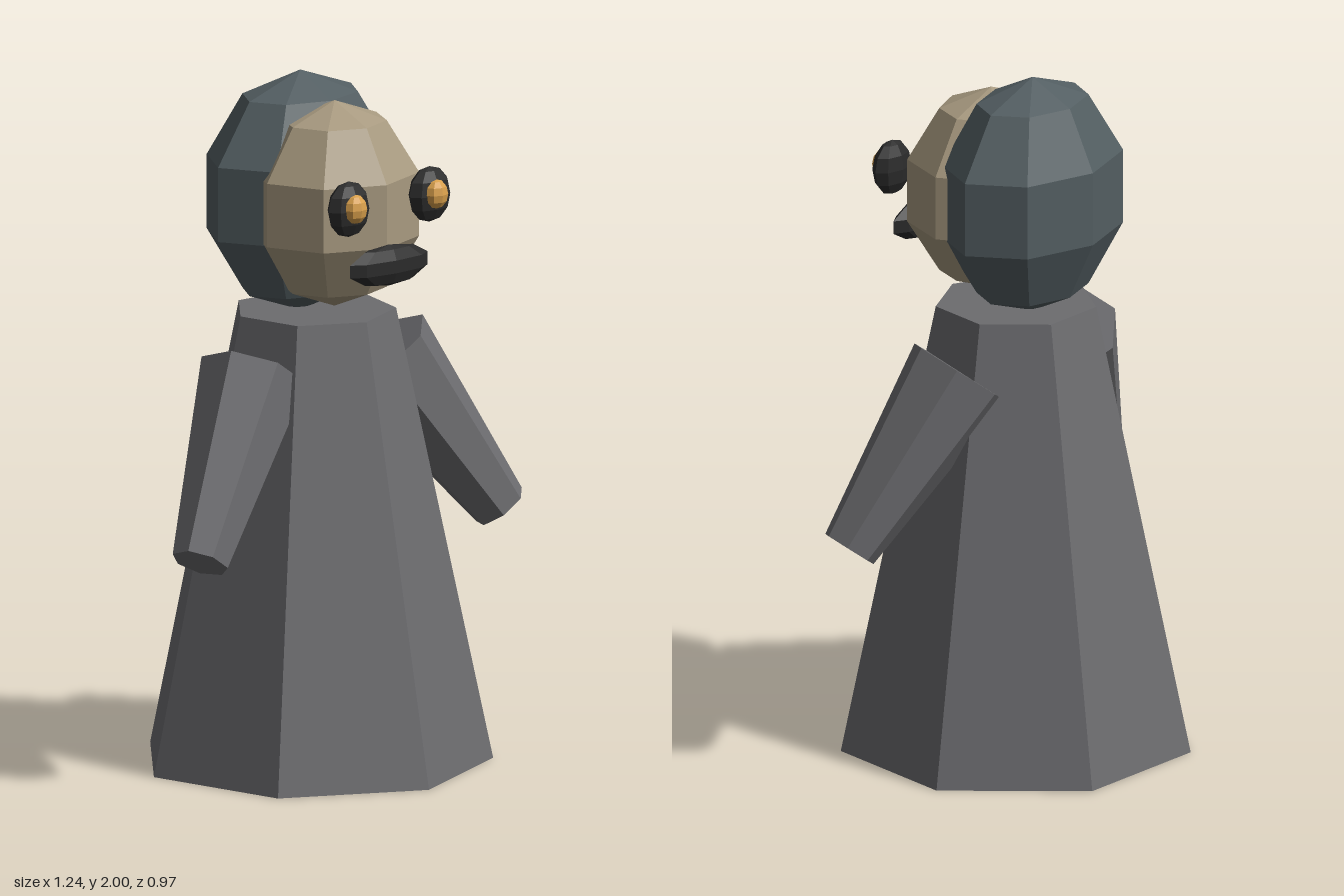
import * as THREE from 'three';

const paint = (color) => new THREE.MeshStandardMaterial({ color, flatShading: true });

export function createModel() {
  const model = new THREE.Group();
  const cloth = paint(0x6c6c6f);
  const hoodCloth = paint(0x535e62);
  const skin = paint(0xa89a80);
  const dark = paint(0x2b2b2b);
  const gold = paint(0xd9a04c);

  const add = (name, geometry, material, parent = model) => {
    const mesh = new THREE.Mesh(geometry, material);
    mesh.name = name;
    parent.add(mesh);
    return mesh;
  };

  // Faceted ellipsoid with given centre and radii
  const ellipsoid = (name, material, centre, radii, rings) => {
    const mesh = add(name, new THREE.SphereGeometry(1, 8, rings), material);
    mesh.position.set(...centre);
    mesh.scale.set(...radii);
    return mesh;
  };

  // Seven-sided robe, one corner to the front
  const robe = add('robe', new THREE.CylinderGeometry(0.234, 0.51, 1.315, 7), cloth);
  robe.position.set(0, 0.6575, -0.025);

  // Head
  ellipsoid('hood', hoodCloth, [0, 1.65, -0.085], [0.32, 0.35, 0.233], 5);
  ellipsoid('face', skin, [0, 1.638, 0.067], [0.263, 0.3, 0.243], 5);
  ellipsoid('mouth', dark, [0, 1.5, 0.308], [0.151, 0.06, 0.036], 5);

  // Tapered arm from shoulder to wrist, flat side facing outward
  const shoulder = new THREE.Vector3(0.235, 1.16, -0.01);
  const wrist = new THREE.Vector3(0.555, 0.682, 0.135);
  const up = shoulder.clone().sub(wrist);
  const length = up.length();
  up.normalize();
  const inward = new THREE.Vector3(-1, 0, 0).addScaledVector(up, up.x).normalize();
  const across = up.clone().cross(inward);
  const armGeometry = new THREE.CylinderGeometry(0.158, 0.083, length, 7);
  armGeometry.applyMatrix4(new THREE.Matrix4().makeBasis(across, up, inward));
  const middle = shoulder.clone().add(wrist).multiplyScalar(0.5);
  armGeometry.translate(middle.x, middle.y, middle.z);

  // Paired parts
  for (const [side, s] of [['left', 1], ['right', -1]]) {
    const arm = add(side + 'Arm', armGeometry, cloth);
    arm.scale.x = s;
    ellipsoid(side + 'EyeSocket', dark, [0.15 * s, 1.685, 0.308], [0.075, 0.081, 0.041], 6);
    ellipsoid(side + 'Eye', gold, [0.15 * s, 1.69, 0.338], [0.038, 0.043, 0.03], 6);
  }

  return model;
}
